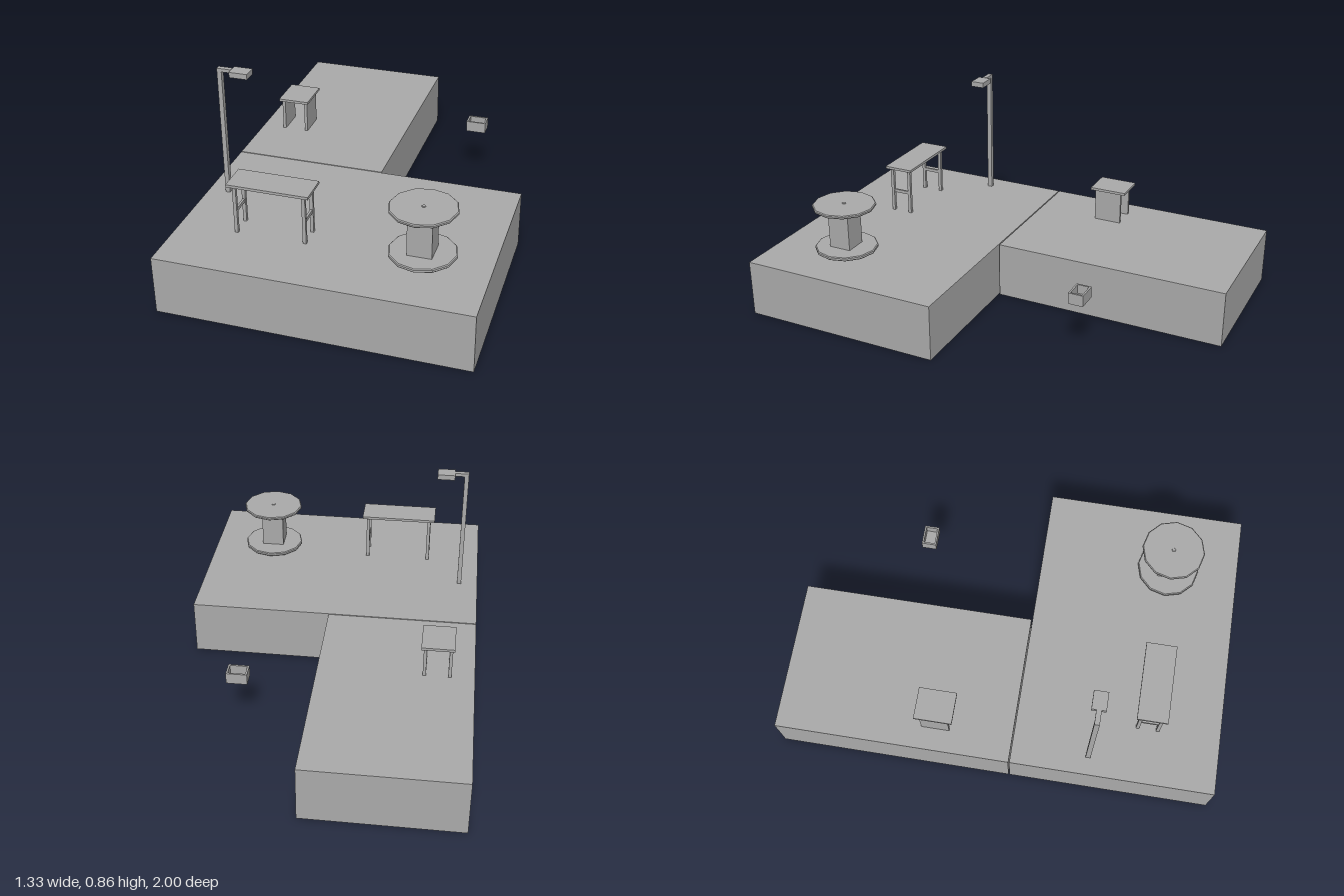
import * as THREE from 'three';

export function createModel() {
  const model = new THREE.Group();
  const grey = new THREE.MeshStandardMaterial({ color: 0xaaaaaa, flatShading: true });
  grey.name = 'plain grey';
  const floor = 0.26;

  function group(name) {
    const g = new THREE.Group();
    g.name = name;
    model.add(g);
    return g;
  }

  // box given by its extents on each axis
  function box(parent, name, [x0, x1], [y0, y1], [z0, z1]) {
    const mesh = new THREE.Mesh(new THREE.BoxGeometry(x1 - x0, y1 - y0, z1 - z0), grey);
    mesh.position.set((x0 + x1) / 2, (y0 + y1) / 2, (z0 + z1) / 2);
    mesh.name = name;
    parent.add(mesh);
  }

  // L-shaped ground in two slabs
  const ground = group('ground');
  box(ground, 'frontSlab', [-0.667, 0.665], [0, floor], [0.077, 1]);
  box(ground, 'backSlab', [-0.667, 0.02], [0, floor], [-1, 0.072]);

  // street lamp
  const lamp = group('streetLamp');
  box(lamp, 'lampPole', [-0.589, -0.569], [floor, 0.843], [0.411, 0.433]);
  box(lamp, 'lampArm', [-0.589, -0.526], [0.843, 0.858], [0.411, 0.433]);
  box(lamp, 'lampHead', [-0.526, -0.446], [0.832, 0.856], [0.391, 0.453]);

  // long table on two trestles
  const table = group('table');
  box(table, 'tableTop', [-0.441, -0.086], [0.481, 0.493], [0.602, 0.739]);
  for (const x of [-0.413, -0.113]) {
    for (const z of [0.625, 0.716]) {
      box(table, 'tableLeg', [x - 0.0075, x + 0.0075], [floor, 0.471], [z - 0.0075, z + 0.0075]);
    }
    box(table, 'tableCrossbar', [x - 0.005, x + 0.005], [0.355, 0.37], [0.632, 0.709]);
  }

  // stool with slab sides
  const stool = group('stool');
  box(stool, 'stoolSeat', [-0.574, -0.43], [0.411, 0.423], [-0.365, -0.194]);
  for (const x of [-0.559, -0.448]) {
    box(stool, 'stoolSide', [x - 0.007, x + 0.007], [floor, 0.411], [-0.342, -0.214]);
  }

  // cable spool: two chamfered discs, a square core and an axle
  const spool = group('cableSpool');
  function disc(name, radius, y0, y1, bevel) {
    const profile = [
      [0, y0], [radius - bevel, y0], [radius, y0 + bevel],
      [radius, y1 - bevel], [radius - bevel, y1], [0, y1],
    ].map(([r, y]) => new THREE.Vector2(r, y));
    const mesh = new THREE.Mesh(new THREE.LatheGeometry(profile, 12), grey);
    mesh.position.set(0.373, 0, 0.672);
    mesh.name = name;
    spool.add(mesh);
  }
  disc('lowerDisc', 0.143, 0.274, 0.291, 0.004);
  disc('upperDisc', 0.143, 0.48, 0.495, 0.004);
  disc('axle', 0.009, 0.471, 0.498, 0.001);
  box(spool, 'spoolCore', [0.32, 0.424], [0.288, 0.471], [0.624, 0.728]);

  // open crate
  const crate = group('crate');
  const [x0, x1, z0, z1, t] = [0.3, 0.392, -0.5, -0.432, 0.008];
  box(crate, 'crateBottom', [x0, x1], [floor + 0.002, floor + 0.012], [z0, z1]);
  for (const x of [x0, x1 - t]) {
    box(crate, 'crateEnd', [x, x + t], [floor + 0.012, 0.313], [z0, z1]);
  }
  for (const z of [z0, z1 - t]) {
    box(crate, 'crateSide', [x0 + t, x1 - t], [floor + 0.012, 0.313], [z, z + t]);
  }

  return model;
}
